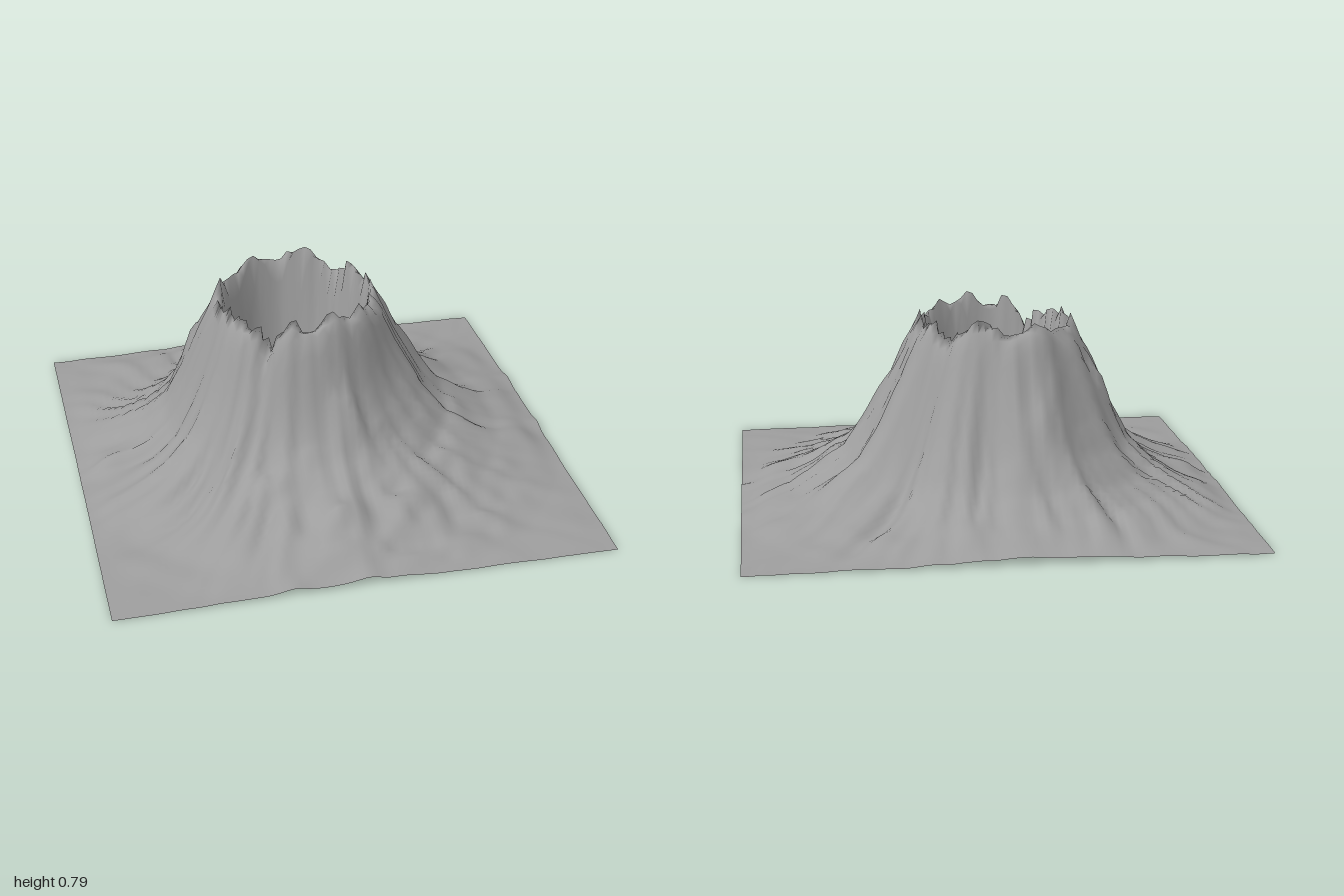
import * as THREE from 'three';

const CX = -0.06, CZ = -0.055; // crater axis

// Slope heights by distance from the axis, for the four sides
const RADII = [0.31, 0.36, 0.42, 0.48, 0.55, 0.65, 0.75, 0.87, 1.0, 1.15, 1.5];
const SLOPES = [
  [0.76, 0.68, 0.56, 0.45, 0.32, 0.19, 0.14, 0.08, 0.05, 0.015, 0], // +x
  [0.77, 0.73, 0.47, 0.33, 0.25, 0.18, 0.14, 0.10, 0.05, 0.015, 0], // +z
  [0.75, 0.64, 0.50, 0.36, 0.23, 0.14, 0.09, 0.05, 0.02, 0.01, 0],  // -x
  [0.77, 0.71, 0.56, 0.43, 0.30, 0.17, 0.10, 0.06, 0.03, 0.01, 0],  // -z
];
// Shallow bowl, raised lip, moat and steep wall inside the crater
const PIT_R = [0, 0.12, 0.19, 0.235, 0.265, 0.285, 0.3, 0.31];
const PIT_Y = [0.26, 0.28, 0.31, 0.28, 0.25, 0.52, 0.73, 0.77];

const { lerp, clamp, smoothstep } = THREE.MathUtils;

function sample(xs, ys, x) {
  let i = 0;
  while (i < xs.length - 2 && x > xs[i + 1]) i++;
  return lerp(ys[i], ys[i + 1], clamp((x - xs[i]) / (xs[i + 1] - xs[i]), 0, 1));
}

// Repeatable smooth value noise, from -1 to 1
function hash(i, j) {
  const s = Math.sin(i * 127.1 + j * 311.7) * 43758.5453;
  return (s - Math.floor(s)) * 2 - 1;
}
function noise(x, y) {
  const i = Math.floor(x), j = Math.floor(y);
  const u = smoothstep(x - i, 0, 1), v = smoothstep(y - j, 0, 1);
  return lerp(lerp(hash(i, j), hash(i + 1, j), u), lerp(hash(i, j + 1), hash(i + 1, j + 1), u), v);
}

// Bell curve around a centre
function bell(v, centre, width) {
  return Math.exp(-(((v - centre) / width) ** 2));
}

// Small separate knolls: x, z, size, height
const KNOLLS = [
  [-0.31, 0.55, 0.06, 0.06], [0.05, 0.40, 0.06, 0.08], [-0.03, 0.72, 0.08, 0.05],
  [0.6, 0.05, 0.06, 0.03], [-0.47, -0.24, 0.05, 0.07], [-0.18, -0.56, 0.06, 0.04],
  [0, 1, 0.07, 0.03], [-0.3, 1, 0.05, 0.025], [1, 0.04, 0.05, 0.03], [1, -0.36, 0.06, 0.03],
];
// Main ridges (+) and ravines (-): angle, width, distance, length, height
const SPURS = [
  [-1.12, 0.12, 0.5, 0.2, 0.045], [-0.85, 0.13, 0.5, 0.2, -0.06],
  [-0.52, 0.12, 0.6, 0.25, 0.04], [-0.25, 0.12, 0.6, 0.22, -0.05],
  [0.0, 0.1, 0.6, 0.2, 0.03], [0.2, 0.12, 0.55, 0.18, -0.03],
  [2.15, 0.13, 0.34, 0.07, -0.13], [1.95, 0.1, 0.6, 0.25, -0.04],
  [2.15, 0.08, 0.65, 0.25, 0.04], [2.4, 0.1, 0.75, 0.3, -0.03],
  [2.65, 0.1, 0.6, 0.25, 0.03], [2.95, 0.1, 0.6, 0.25, -0.03],
];

function heightAt(x, z) {
  const dx = x - CX, dz = z - CZ;
  const angle = Math.atan2(dz, dx);
  const ca = Math.cos(angle), sa = Math.sin(angle);
  const r = Math.hypot(dx, dz) * (1 + 0.02 * noise(ca * 3 + 8, sa * 3));

  // Crater inside the rim, slope outside it, steepest at the front left
  let y;
  if (r < 0.31) {
    y = sample(PIT_R, PIT_Y, r) + 0.01 * noise(x * 12, z * 12);
    y -= 0.04 * bell(r, 0.265, 0.02) * noise(ca * 9, sa * 9);
  } else {
    const q = (angle / (Math.PI / 2) + 4) % 4;
    const k = Math.floor(q);
    const s = r + 0.03 * bell(angle, 0.8, 0.4) * smoothstep(r, 0.33, 0.45);
    y = lerp(sample(RADII, SLOPES[k], s), sample(RADII, SLOPES[(k + 1) % 4], s), smoothstep(q - k, 0, 1));
  }

  // Radial gullies, calmer on the front apron
  const bend = angle + 0.06 * noise(r * 4, angle * 2);
  const cb = Math.cos(bend), sb = Math.sin(bend);
  const gully = 0.5 * noise(cb * 5 + 20, sb * 5 + r) + 0.6 * noise(cb * 11 + 40, sb * 11 + r * 2)
    + 0.4 * noise(cb * 20 + 60, sb * 20 + r * 4);
  const apron = bell(angle, 1.2, 0.6) * smoothstep(r, 0.4, 0.7);
  const flank = smoothstep(r, 0.3, 0.4) * (1 - 0.8 * smoothstep(r, 0.5, 1.15));
  y += 0.055 * flank * (1 - 0.6 * apron) * gully;
  for (const [a, width, dist, length, height] of SPURS) {
    y += height * bell(bend, a, width) * bell(r, dist, length) * smoothstep(r, 0.27, 0.33);
  }

  // Ragged rim
  y += 0.04 * bell(r, 0.31, 0.04) * (noise(ca * 8 + 3, sa * 8 + 5) - 0.1);

  // Fine rubble on the apron and light unevenness elsewhere
  y += 0.022 * apron * (1 - smoothstep(r, 0.85, 1.2)) * noise(x * 15, z * 15);
  y += 0.01 * noise(x * 7 + 30, z * 7) * smoothstep(r, 0.4, 0.5) * (1 - smoothstep(r, 1.0, 1.3));
  for (const [px, pz, size, height] of KNOLLS) y += height * bell(Math.hypot(x - px, z - pz), 0, size);

  // Sink to the ground towards the border
  const edge = Math.max(Math.abs(x), Math.abs(z));
  y *= 1 - 0.5 * smoothstep(edge, 0.88, 1);
  return clamp(y, 0, 0.79);
}

export function createModel() {
  const model = new THREE.Group();
  model.name = 'volcano';

  const geometry = new THREE.PlaneGeometry(2, 2, 80, 80).rotateX(-Math.PI / 2);
  const p = geometry.attributes.position;
  for (let i = 0; i < p.count; i++) p.setY(i, heightAt(p.getX(i), p.getZ(i)));
  geometry.computeVertexNormals();

  const material = new THREE.MeshStandardMaterial({ color: 0x9d9d9d, side: THREE.DoubleSide });
  const terrain = new THREE.Mesh(geometry, material);
  terrain.name = 'craterTerrain';
  model.add(terrain);
  return model;
}
